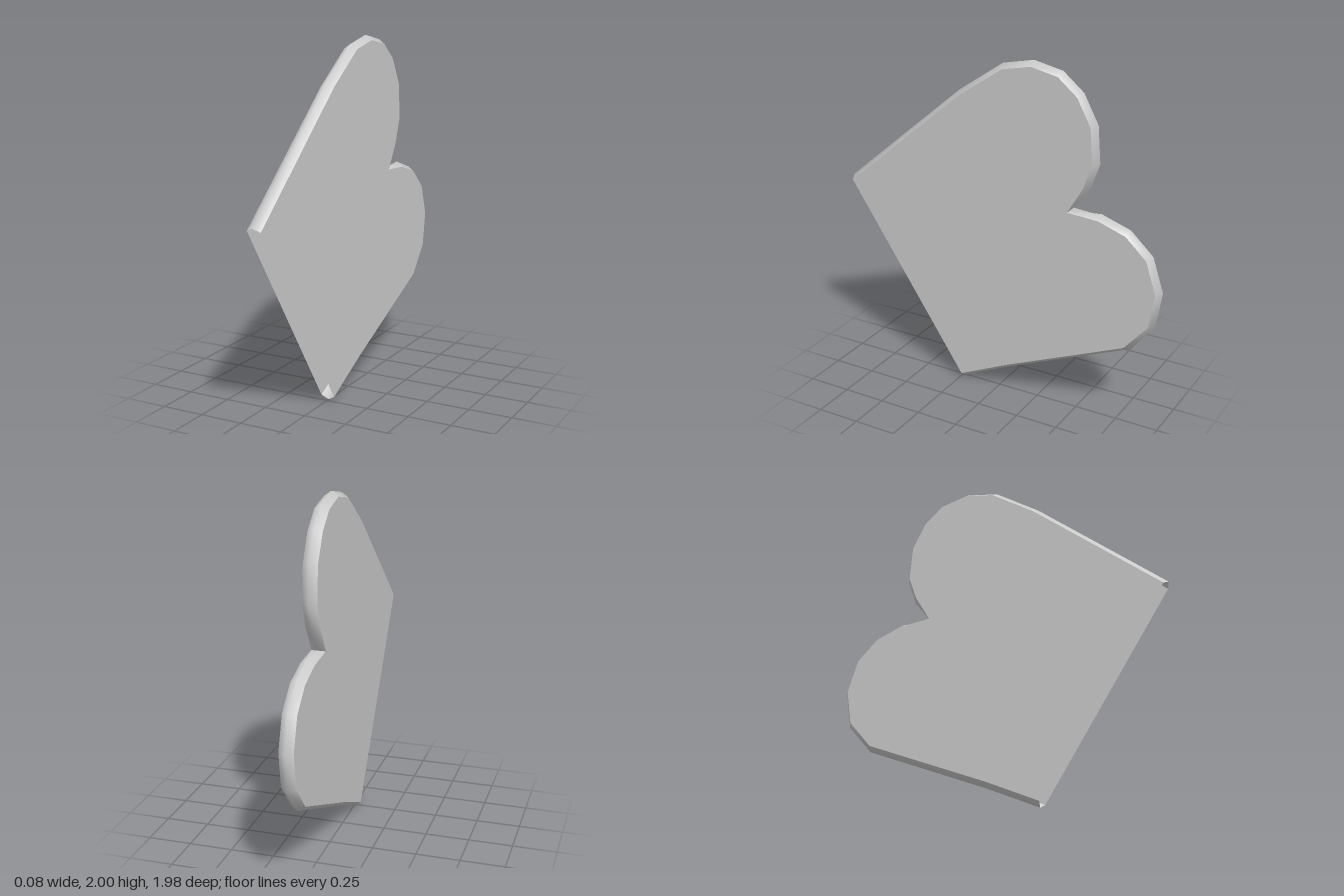
import * as THREE from 'three';

const HALF = 0.04;   // half thickness of the plate
const BEVEL = 0.027; // how far the flat sides sit inside the ridge

// Ridge outline as [z, y]: upper lobe from the open edge to the notch, then the lower lobe
const NOTCH = [-0.434, 1.205];
const UPPER = [[0.992, 1.146], [0.25, 1.775], [-0.02, 1.96], [-0.205, 2], [-0.375, 1.965], [-0.497, 1.865],
  [-0.583, 1.705], [-0.6, 1.495], [-0.547, 1.343], NOTCH];
const LOWER = [NOTCH, [-0.62, 1.22], [-0.79, 1.163], [-0.923, 1.04], [-0.988, 0.843], [-0.955, 0.63],
  [-0.81, 0.46], [-0.07, 0.142], [0.23, 0]];

// Flat 2D coordinates: u = -z, v = y
const toPoints = (list) => list.map(([z, y]) => new THREE.Vector2(-z, y));

// Moves an outline inward along its mitred normals, leaving the notch in place
function inset(points, notchIndex) {
  const normal = (a, b) => new THREE.Vector2(a.y - b.y, b.x - a.x).normalize();
  return points.map((p, i) => {
    if (i === notchIndex) return p.clone();
    const next = points[i + 1], prev = points[i - 1];
    const n1 = normal(prev ?? p, prev ? p : next);
    const n2 = next ? normal(p, next) : n1;
    const miter = n1.clone().add(n2).divideScalar(1 + n1.dot(n2));
    return p.clone().addScaledVector(miter, -BEVEL);
  });
}

// Smooth bevelled strip: inset row, ridge row, inset row
function rimGeometry(ridge, inner) {
  const position = [], index = [];
  ridge.forEach((p, i) => {
    const q = inner[i];
    position.push(-HALF, q.y, -q.x, 0, p.y, -p.x, HALF, q.y, -q.x);
    if (i === ridge.length - 1) return;
    for (let j = 0; j < 2; j++) {
      const a = i * 3 + j;
      index.push(a, a + 1, a + 3, a + 3, a + 1, a + 4);
    }
  });
  const geometry = new THREE.BufferGeometry();
  geometry.setAttribute('position', new THREE.Float32BufferAttribute(position, 3));
  geometry.setIndex(index);
  geometry.computeVertexNormals();
  return geometry;
}

export function createModel() {
  const group = new THREE.Group();
  group.name = 'heartPlate';
  const material = new THREE.MeshStandardMaterial({ color: 0xcccccc, side: THREE.DoubleSide });
  const add = (name, geometry) => {
    const mesh = new THREE.Mesh(geometry, material);
    mesh.name = name;
    group.add(mesh);
  };

  // Bevelled rims of the two lobes; the straight front edge stays open
  const upper = toPoints(UPPER), lower = toPoints(LOWER);
  const upperIn = inset(upper, upper.length - 1), lowerIn = inset(lower, 0);
  add('upperRim', rimGeometry(upper, upperIn));
  add('lowerRim', rimGeometry(lower, lowerIn));

  // Flat sides
  const outline = [...upperIn, ...lowerIn.slice(1)];
  for (const side of [1, -1]) {
    const shape = new THREE.Shape(outline.map((p) => new THREE.Vector2(p.x * side, p.y)));
    const face = new THREE.ShapeGeometry(shape);
    face.rotateY(side * Math.PI / 2);
    face.translate(side * HALF, 0, 0);
    add(side > 0 ? 'leftFace' : 'rightFace', face);
  }
  return group;
}
